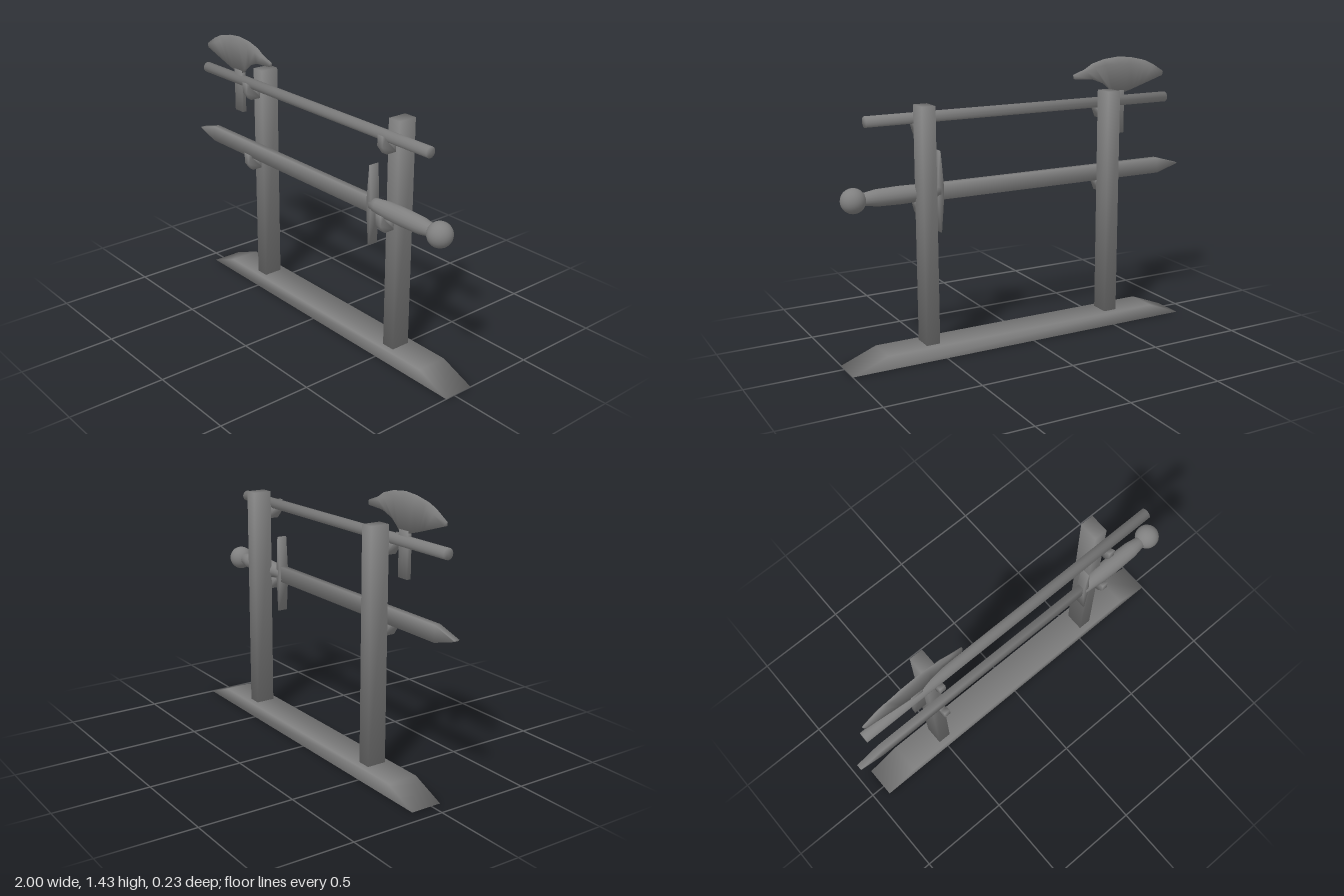
import * as THREE from 'three';
import { mergeVertices } from 'three/addons/utils/BufferGeometryUtils.js';

const material = new THREE.MeshStandardMaterial({ color: 0x808080 });

function add(parent, name, geometry, x = 0, y = 0, z = 0) {
  const mesh = new THREE.Mesh(geometry, material);
  mesh.name = name;
  mesh.position.set(x, y, z);
  parent.add(mesh);
  return mesh;
}

// Joins all corners and shades softly across every edge,
// weighting each face by its angle at the corner.
function soften(source) {
  source.deleteAttribute('normal');
  source.deleteAttribute('uv');
  const geometry = mergeVertices(source, 1e-5);
  const position = geometry.attributes.position;
  const index = geometry.index.array;
  const normals = Array.from({ length: position.count }, () => new THREE.Vector3());
  for (let i = 0; i < index.length; i += 3) {
    const ids = [index[i], index[i + 1], index[i + 2]];
    const p = ids.map((id) => new THREE.Vector3().fromBufferAttribute(position, id));
    const face = new THREE.Triangle(...p).getNormal(new THREE.Vector3());
    ids.forEach((id, k) => {
      const u = p[(k + 1) % 3].clone().sub(p[k]);
      const v = p[(k + 2) % 3].clone().sub(p[k]);
      normals[id].addScaledVector(face, u.angleTo(v));
    });
  }
  const values = normals.flatMap((n) => n.normalize().toArray());
  geometry.setAttribute('normal', new THREE.Float32BufferAttribute(values, 3));
  return geometry;
}

// Closed skin over rings of [x, y, z] points.
// Each ring runs counter-clockwise about the direction of travel.
function loft(rings) {
  const n = rings[0].length;
  const last = (rings.length - 1) * n;
  const index = [];
  for (let i = 0; i < rings.length - 1; i++) {
    for (let j = 0; j < n; j++) {
      const a = i * n + j, b = i * n + (j + 1) % n;
      index.push(a, b, b + n, a, b + n, a + n);
    }
  }
  for (let j = 1; j < n - 1; j++) {
    index.push(0, j + 1, j, last, last + j, last + j + 1);
  }
  const geometry = new THREE.BufferGeometry();
  geometry.setAttribute('position', new THREE.Float32BufferAttribute(rings.flat(2), 3));
  geometry.setIndex(index);
  return soften(geometry);
}

// Rectangular ring across the y axis
const flatRing = (y, x0, x1, z0, z1) => [[x0, y, z0], [x0, y, z1], [x1, y, z1], [x1, y, z0]];

// Hook profile in (z, y), measured from the centre of the held rod
function hookGeometry() {
  const shape = new THREE.Shape();
  shape.moveTo(-0.04, -0.08);
  shape.lineTo(0.023, -0.08);
  shape.lineTo(0.053, -0.04);
  shape.lineTo(0.053, 0.017);
  shape.lineTo(0.03, 0);
  shape.quadraticCurveTo(0.026, -0.024, 0, -0.027);
  shape.lineTo(-0.04, -0.012);
  const geometry = new THREE.ExtrudeGeometry(shape, { depth: 0.034, bevelEnabled: false, curveSegments: 3 });
  geometry.translate(0, 0, -0.017);
  geometry.rotateY(-Math.PI / 2);
  return soften(geometry);
}

function buildRack() {
  const rack = new THREE.Group();
  rack.name = 'rack';
  // Base with sloping ends
  add(rack, 'base', loft([
    flatRing(0, -0.923, 1, -0.114, 0.053),
    flatRing(0.072, -0.74, 0.815, -0.114, 0.053),
  ]));
  // Posts, each with an upper and a lower hook
  const post = soften(new THREE.BoxGeometry(0.072, 1.212, 0.103));
  const hook = hookGeometry();
  for (const x of [-0.496, 0.559]) {
    add(rack, 'post', post, x, 0.666, -0.0285);
    for (const y of [1.2, 0.803]) add(rack, 'hook', hook, x, y, 0.057);
  }
  return rack;
}

function buildAxe() {
  const axe = new THREE.Group();
  axe.name = 'axe';
  axe.position.set(0.003, 0, 0.057);
  const shaft = new THREE.CylinderGeometry(0.028, 0.028, 1.75, 16);
  shaft.rotateZ(Math.PI / 2);
  add(axe, 'axeShaft', soften(shaft), -0.045, 1.2, 0);
  add(axe, 'axeNeck', soften(new THREE.BoxGeometry(0.068, 0.23, 0.022)), -0.613, 1.14, 0);

  // Fan-shaped fluted blade: [bottom x, bottom y, edge x, edge y, half thickness]
  const columns = [
    [-0.895, 1.32, -0.905, 1.342, 0.005],
    [-0.76, 1.277, -0.84, 1.382, 0.012],
    [-0.725, 1.266, -0.79, 1.405, 0.012],
    [-0.7, 1.258, -0.76, 1.413, 0.005],
    [-0.645, 1.243, -0.69, 1.428, 0.012],
    [-0.58, 1.243, -0.61, 1.435, 0.012],
    [-0.555, 1.27, -0.52, 1.426, 0.007],
    [-0.52, 1.297, -0.445, 1.405, 0.012],
    [-0.45, 1.323, -0.4, 1.378, 0.009],
    [-0.34, 1.33, -0.332, 1.354, 0.005],
  ];
  add(axe, 'axeBlade', loft(columns.map(([bx, by, ex, ey, t]) => {
    const mx = bx + (ex - bx) * 0.8, my = by + (ey - by) * 0.8;
    return [[ex, ey, 0], [mx, my, t], [bx, by, 0.009], [bx, by, -0.009], [mx, my, -t]];
  })));
  return axe;
}

function buildSword() {
  const sword = new THREE.Group();
  sword.name = 'sword';
  sword.position.set(0.004, 0.823, 0.05);

  // Blade: flat bar closing to a chisel-like tip
  const bladeRing = (x, h, t) => [[x, h, -t], [x, h, t], [x, -h, t], [x, -h, -t]];
  add(sword, 'swordBlade', loft([
    bladeRing(-1.004, 0.003, 0.015), bladeRing(-0.87, 0.042, 0.017), bladeRing(0.45, 0.042, 0.017),
  ]));

  // Cross guard: thick in the middle, thin at both ends
  add(sword, 'crossGuard', loft([
    flatRing(-0.208, 0.45, 0.455, -0.027, 0.027),
    flatRing(-0.03, 0.435, 0.466, -0.027, 0.027),
    flatRing(0.03, 0.435, 0.466, -0.027, 0.027),
    flatRing(0.208, 0.45, 0.455, -0.027, 0.027),
  ]));

  // Swelling grip and round pommel
  const profile = [[0, 0.45], [0.032, 0.45], [0.036, 0.49], [0.044, 0.56], [0.046, 0.66], [0.043, 0.78], [0.03, 0.86], [0, 0.87]];
  const grip = new THREE.LatheGeometry(profile.map(([r, l]) => new THREE.Vector2(r, l)), 16);
  grip.rotateZ(-Math.PI / 2);
  add(sword, 'grip', grip, 0, 0.004, 0);
  add(sword, 'pommel', new THREE.SphereGeometry(0.063, 24, 16), 0.902, 0.002, 0);
  return sword;
}

export function createModel() {
  const model = new THREE.Group();
  model.name = 'weaponRack';
  model.add(buildRack(), buildAxe(), buildSword());
  return model;
}
